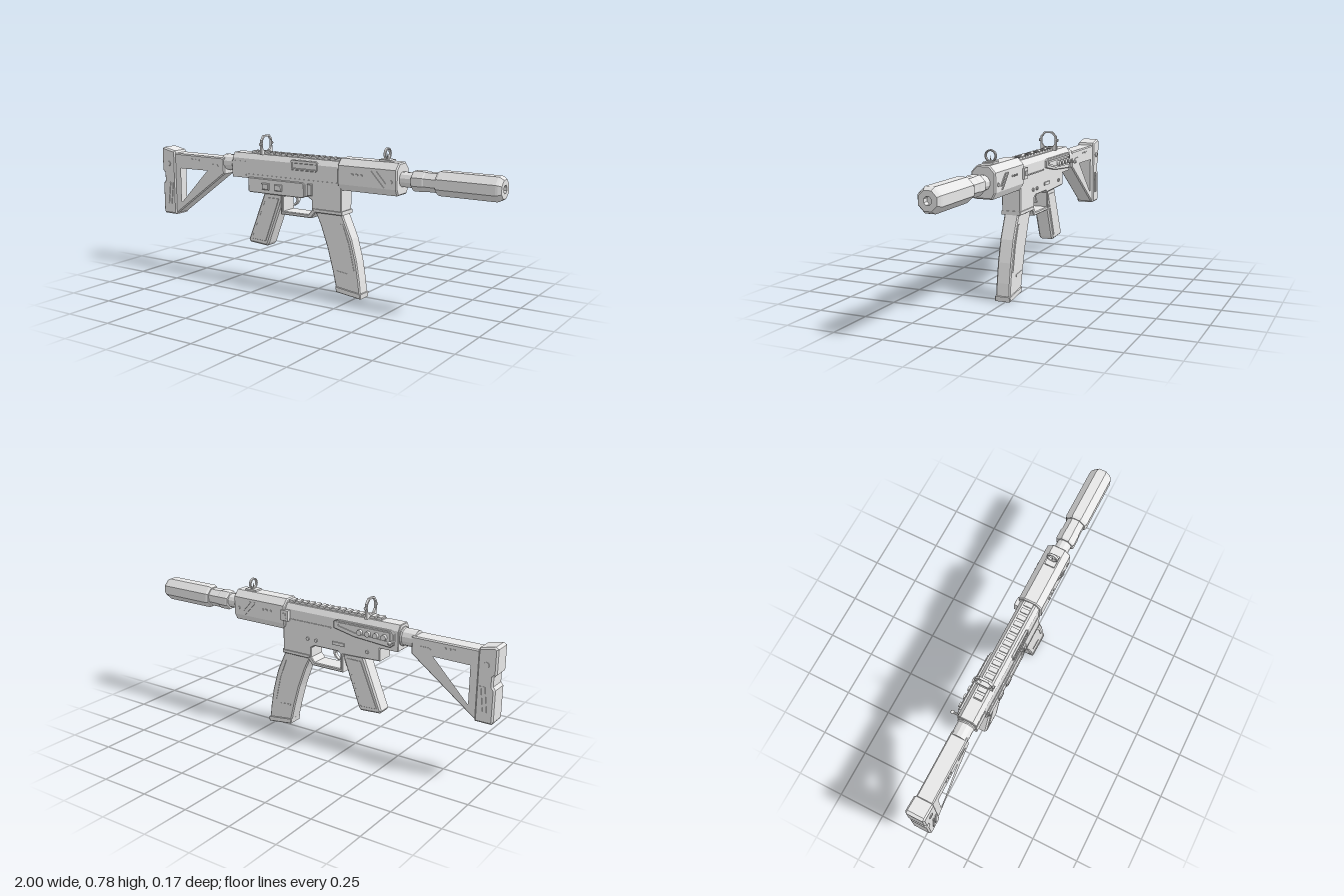
import * as THREE from 'three';

const grey = new THREE.MeshStandardMaterial({ color: 0xe7e7e7 });
grey.name = 'plain light grey';
const MID = 0.015; // z of the main centre plane
const AXIS = 0.62; // height of the barrel axis

export function createModel() {
  const model = new THREE.Group();
  model.name = 'compactProp';

  const add = (name, geo, x = 0, y = 0, z = MID) => {
    const flat = geo.index ? geo.toNonIndexed() : geo;
    flat.computeVertexNormals();
    const mesh = new THREE.Mesh(flat, grey);
    mesh.name = name;
    mesh.position.set(x, y, z);
    model.add(mesh);
    return mesh;
  };
  const vec = (pts) => pts.map(([x, y]) => new THREE.Vector2(x, y));
  const extrude = (pts, depth, bevel = 0, holes = []) => {
    const shape = new THREE.Shape(vec(pts));
    holes.forEach((h) => shape.holes.push(new THREE.Path(vec(h))));
    const geo = new THREE.ExtrudeGeometry(shape, {
      depth: depth - 2 * bevel, bevelEnabled: bevel > 0, bevelSize: bevel,
      bevelThickness: bevel, bevelOffset: -bevel, bevelSegments: 1,
    });
    return geo.translate(0, 0, bevel - depth / 2);
  };
  // side outline, given thickness across z
  const side = (name, pts, depth, bevel, holes, z = MID) => add(name, extrude(pts, depth, bevel, holes), 0, 0, z);
  // cross-section (z, y) swept along x from x0 to x1
  const along = (name, pts, x0, x1, bevel = 0, holes = []) =>
    add(name, extrude(pts, x1 - x0, bevel, holes).rotateY(Math.PI / 2), (x0 + x1) / 2);
  const box = (name, x0, x1, y0, y1, z0, z1) =>
    add(name, new THREE.BoxGeometry(x1 - x0, y1 - y0, z1 - z0), (x0 + x1) / 2, (y0 + y1) / 2, (z0 + z1) / 2);
  const knob = (name, r, len, x, y, z, sides = 12) =>
    add(name, new THREE.CylinderGeometry(r, r, len, sides).rotateX(Math.PI / 2), x, y, z);
  // solid of revolution about the barrel axis, [x, radius] pairs
  const turned = (name, pts, sides) => add(name,
    new THREE.LatheGeometry(pts.map(([x, r]) => new THREE.Vector2(r, x)), sides)
      .rotateY(Math.PI / sides).rotateZ(-Math.PI / 2), 0, AXIS);
  const circle = (r, y) => Array.from({ length: 24 }, (_, i) => {
    const a = (i / 24) * Math.PI * 2;
    return [r * Math.cos(a), y + r * Math.sin(a)];
  });

  // Shoulder stock
  side('stockFrame', [[-0.92, 0.645], [-0.564, 0.645], [-0.564, 0.558], [-0.9, 0.31], [-0.92, 0.31]], 0.086, 0.006,
    [[[-0.875, 0.57], [-0.672, 0.57], [-0.862, 0.37], [-0.875, 0.37]]]);
  side('buttPad', [[-0.985, 0.674], [-0.91, 0.658], [-0.905, 0.645], [-0.905, 0.302], [-0.99, 0.302], [-0.997, 0.315],
    [-0.997, 0.47], [-0.985, 0.485], [-0.985, 0.53], [-1, 0.545], [-1, 0.665]], 0.1, 0.008);
  for (const s of [-1, 1]) {
    const z = MID + s * 0.0505;
    side('buttRib', [[-0.965, 0.36], [-0.955, 0.36], [-0.94, 0.48], [-0.95, 0.48]], 0.006, 0, [], z);
    side('buttRib', [[-0.945, 0.36], [-0.935, 0.36], [-0.92, 0.48], [-0.93, 0.48]], 0.006, 0, [], z);
    knob('buttPin', 0.014, 0.008, -0.95, 0.585, z, 8);
    const zs = MID + s * 0.043;
    side('stockRib', [[-0.67, 0.595], [-0.6, 0.595], [-0.61, 0.605], [-0.66, 0.605]], 0.006, 0, [], zs);
    for (let i = 0; i < 3; i++) box('stockDot', -0.79 + i * 0.022, -0.779 + i * 0.022, 0.615, 0.623, zs - 0.003, zs + 0.003);
  }
  turned('stockTube', [[-0.58, 0], [-0.58, 0.043], [-0.51, 0.043], [-0.505, 0.048], [-0.49, 0.048], [-0.49, 0]], 12);

  // Upper receiver and rail
  along('upperReceiver', [[-0.05, 0.553], [0.05, 0.553], [0.05, 0.655], [0.032, 0.682], [-0.032, 0.682], [-0.05, 0.655]],
    -0.5, 0.17, 0.003);
  box('railBase', -0.39, 0.16, 0.675, 0.688, MID - 0.022, MID + 0.022);
  for (let i = 0; i < 15; i++) {
    const x = -0.387 + i * 0.037;
    box('railTooth', x, x + 0.024, 0.685, 0.695, MID - 0.022, MID + 0.022);
  }
  side('ejectionPort', [[-0.125, 0.628], [-0.118, 0.62], [0.028, 0.62], [0.035, 0.628], [0.035, 0.665], [0.028, 0.672],
    [-0.118, 0.672], [-0.125, 0.665]], 0.012, 0.002, [[[-0.115, 0.63], [0.025, 0.63], [0.025, 0.655], [-0.115, 0.655]]], 0.064);
  box('sideStrip', -0.4, 0.16, 0.57, 0.576, 0.062, 0.068);
  box('rearSidePlate', -0.5, -0.41, 0.565, 0.64, 0.062, 0.067);

  // Control panel on the far side
  side('selectorPlate', [[-0.48, 0.585], [-0.46, 0.57], [-0.26, 0.585], [-0.14, 0.61], [-0.14, 0.645], [-0.16, 0.655],
    [-0.46, 0.655], [-0.48, 0.64]], 0.014, 0.003, [], -0.039);
  side('selectorRim', [[-0.46, 0.59], [-0.26, 0.598], [-0.16, 0.62], [-0.16, 0.645], [-0.46, 0.645]], 0.006, 0,
    [[[-0.45, 0.6], [-0.27, 0.607], [-0.17, 0.627], [-0.17, 0.636], [-0.45, 0.636]]], -0.048);
  for (let i = 0; i < 4; i++) knob('selectorStud', 0.014, 0.022, -0.43 + i * 0.045, 0.617, -0.05);
  knob('handleStem', 0.006, 0.04, -0.475, 0.603, -0.055, 8);
  add('handleKnob', new THREE.SphereGeometry(0.01, 10, 8), -0.475, 0.603, -0.076);
  box('boltCatch', 0.13, 0.175, 0.595, 0.65, -0.056, -0.03);
  box('boltCatchKey', 0.142, 0.163, 0.61, 0.635, -0.06, -0.05);
  box('farSideStrip', -0.12, 0.13, 0.6, 0.606, -0.039, -0.032);

  // Front shroud
  along('shroud', [[-0.045, 0.543], [0.045, 0.543], [0.062, 0.575], [0.062, 0.668], [0.032, 0.7], [-0.032, 0.7],
    [-0.062, 0.668], [-0.062, 0.575]], 0.158, 0.487, 0.006);
  for (const s of [-1, 1]) {
    const z = MID + s * 0.062;
    side('shroudRib', [[0.34, 0.655], [0.35, 0.655], [0.42, 0.58], [0.41, 0.58]], 0.008, 0, [], z);
    side('shroudRib', [[0.37, 0.655], [0.38, 0.655], [0.43, 0.6], [0.42, 0.6]], 0.008, 0, [], z);
    for (let i = 0; i < 3; i++) box('shroudDot', 0.24 + i * 0.025, 0.252 + i * 0.025, 0.625, 0.633, z - 0.004, z + 0.004);
    knob('shroudScrew', 0.01, 0.008, 0.455, 0.61, z, 8);
  }

  // Barrel and octagonal muzzle tube
  turned('barrel', [[0.47, 0], [0.47, 0.037], [0.56, 0.037], [0.56, 0]], 12);
  turned('barrelCollar', [[0.55, 0], [0.55, 0.047], [0.558, 0.052], [0.61, 0.052], [0.615, 0.049], [0.69, 0.049], [0.69, 0]], 8);
  turned('muzzleTube', [[0.677, 0], [0.677, 0.055], [0.69, 0.062], [0.975, 0.062], [0.985, 0.058], [1, 0.047],
    [1, 0.02], [0.97, 0.02], [0.97, 0]], 8);

  // Lower receiver with trigger guard
  side('lowerReceiver', [[-0.4, 0.565], [0.175, 0.565], [0.175, 0.43], [0.16, 0.418], [0.025, 0.418], [-0.005, 0.382],
    [-0.19, 0.382], [-0.19, 0.478], [-0.4, 0.485]], 0.1, 0.004,
    [[[-0.175, 0.475], [-0.175, 0.4], [-0.02, 0.4], [0, 0.425], [0, 0.475], [-0.02, 0.488], [-0.16, 0.488]]]);
  side('sidePanel', [[-0.39, 0.49], [-0.38, 0.482], [-0.05, 0.482], [-0.04, 0.49], [-0.04, 0.55], [-0.05, 0.56],
    [-0.39, 0.56]], 0.016, 0.003, [], 0.067);
  for (const x of [-0.275, -0.195])
    side('panelButton', [[x - 0.022, 0.504], [x + 0.022, 0.504], [x + 0.022, 0.538], [x - 0.022, 0.538]], 0.018, 0.004, [], 0.077);
  side('magazineRelease', [[-0.022, 0.498], [0.007, 0.498], [0.007, 0.558], [-0.022, 0.558]], 0.018, 0.003, [], 0.067);
  box('farSlot', -0.2, -0.13, 0.52, 0.536, -0.041, -0.03);
  for (const x of [-0.33, -0.03, 0.02]) knob('farPin', 0.009, 0.012, x, 0.52, -0.036, 8);
  side('trigger', [[-0.14, 0.495], [-0.118, 0.46], [-0.125, 0.445], [-0.14, 0.43], [-0.138, 0.425],
    [-0.118, 0.438], [-0.108, 0.455], [-0.11, 0.495]], 0.02);

  // Grip
  side('grip', [[-0.3, 0.49], [-0.185, 0.49], [-0.185, 0.46], [-0.278, 0.215], [-0.29, 0.2], [-0.4, 0.208], [-0.408, 0.222]],
    0.08, 0.008);
  for (const s of [-1, 1])
    side('gripPanel', [[-0.288, 0.46], [-0.208, 0.46], [-0.295, 0.225], [-0.385, 0.23]], 0.006, 0.001, [], MID + s * 0.039);

  // Curved magazine
  const back = [[0.01, 0.425], [0.045, 0.35], [0.085, 0.24], [0.115, 0.13], [0.14, 0.025]];
  const front = [[0.28, 0.015], [0.272, 0.09], [0.255, 0.19], [0.225, 0.3], [0.17, 0.425]];
  side('magazine', [...back, ...front], 0.076, 0.006);
  side('magazineBase', [[0.135, 0.045], [0.15, 0.045], [0.27, 0.03], [0.284, 0.025], [0.282, 0], [0.14, 0.018]], 0.082, 0.003);
  side('magazineLip', [[0.005, 0.435], [0.18, 0.435], [0.18, 0.415], [0.012, 0.415]], 0.104, 0.003);
  for (const s of [-1, 1]) {
    const z = MID + s * 0.0375;
    side('magazineRib', [[0.165, 0.37], [0.178, 0.37], [0.215, 0.27], [0.245, 0.14], [0.232, 0.14], [0.203, 0.27]], 0.006, 0, [], z);
    side('magazineRib', [[0.14, 0.13], [0.205, 0.122], [0.205, 0.112], [0.143, 0.12]], 0.006, 0, [], z);
  }

  // Ring sights
  along('rearSight', [[-0.045, 0.68], [0.045, 0.68], [0.045, 0.755], [0.023, 0.78], [-0.023, 0.78], [-0.045, 0.755]],
    -0.321, -0.309, 0, [[[-0.024, 0.7], [0.024, 0.7], [0.037, 0.718], [0.037, 0.751], [0.019, 0.772], [-0.019, 0.772],
      [-0.037, 0.751], [-0.037, 0.718]]]);
  for (const s of [-1, 1]) knob('rearSightKnob', 0.008, 0.012, -0.315, 0.735, MID + s * 0.047, 8);
  box('frontSightBase', 0.37, 0.435, 0.695, 0.709, MID - 0.026, MID + 0.026);
  along('frontSightRing', circle(0.03, 0.735), 0.396, 0.41, 0.002, [circle(0.022, 0.735)]);
  add('frontSightPost', new THREE.CylinderGeometry(0.001, 0.004, 0.03, 6), 0.403, 0.722);

  return model;
}
